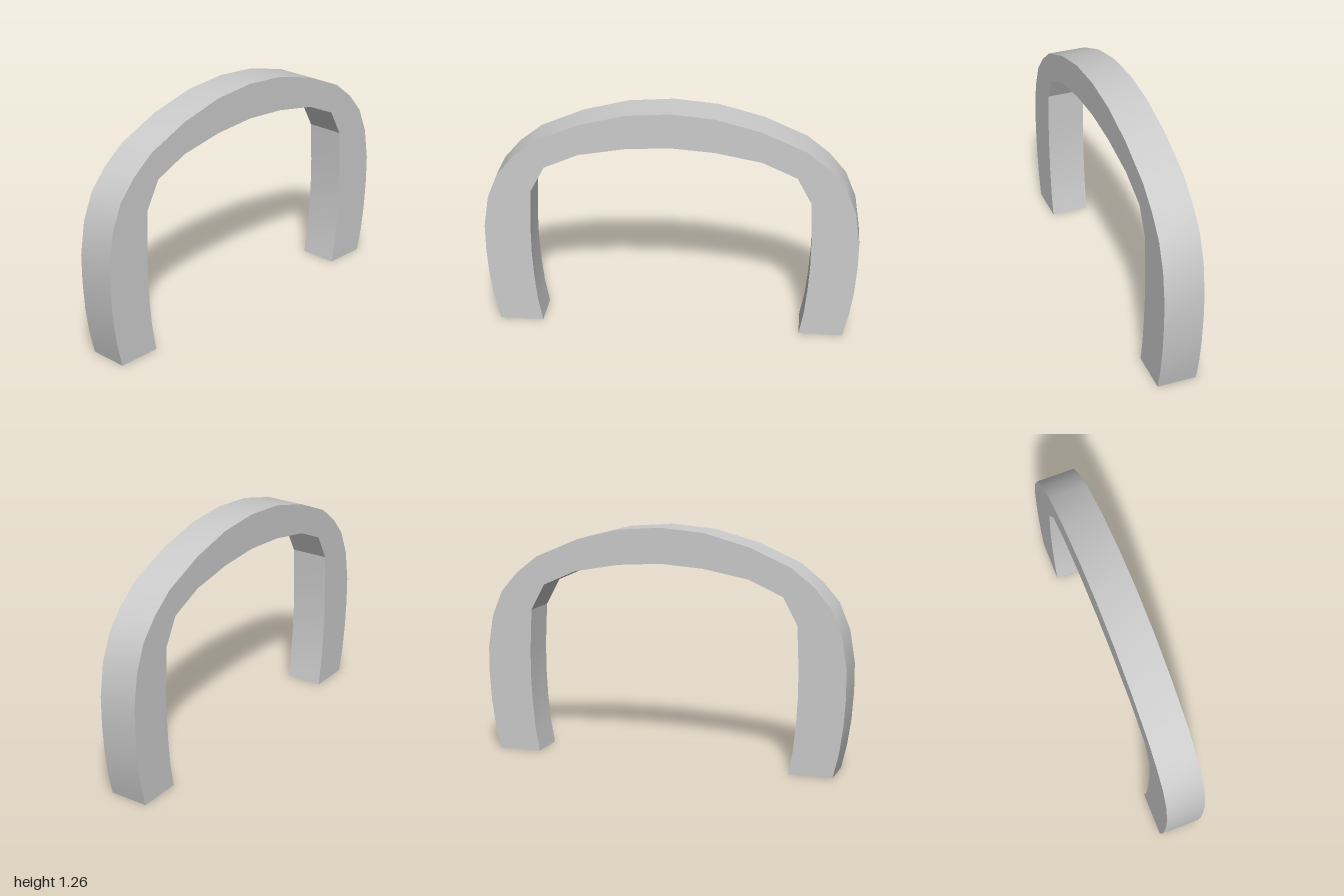
import * as THREE from 'three';
import { toCreasedNormals } from 'three/addons/utils/BufferGeometryUtils.js';

// Half profiles, from the foot up to the crown
const outer = [[0.94, 0], [0.97, 0.13], [0.99, 0.27], [1, 0.42], [1, 0.57], [0.972, 0.745],
  [0.914, 0.885], [0.823, 0.99], [0.705, 1.083], [0.475, 1.182], [0.235, 1.244], [0, 1.263]];
const inner = [[0.705, 0], [0.728, 0.13], [0.742, 0.27], [0.75, 0.42], [0.75, 0.57],
  [0.74, 0.79], [0.663, 0.932], [0.48, 1.013], [0.235, 1.058], [0, 1.074]];

// Full curve from the +x foot over the crown to the -x foot
const mirrored = (half) => [...half, ...half.slice(0, -1).reverse().map(([x, y]) => [-x, y])];

export function createModel() {
  const group = new THREE.Group();
  group.name = 'archBand';

  // Closed arch outline, extruded to the width of the band
  const outline = [...mirrored(outer), ...mirrored(inner).reverse()];
  const shape = new THREE.Shape(outline.map(([x, y]) => new THREE.Vector2(x, y)));
  const depth = 0.21;
  const geometry = new THREE.ExtrudeGeometry(shape, { depth, bevelEnabled: false });
  geometry.translate(0, 0, -depth / 2);

  // Smooth along the curve, sharp at the edges and inner corners
  const arch = new THREE.Mesh(
    toCreasedNormals(geometry, 0.4),
    new THREE.MeshStandardMaterial({ color: 0xcccccc })
  );
  arch.name = 'arch';
  group.add(arch);
  return group;
}
